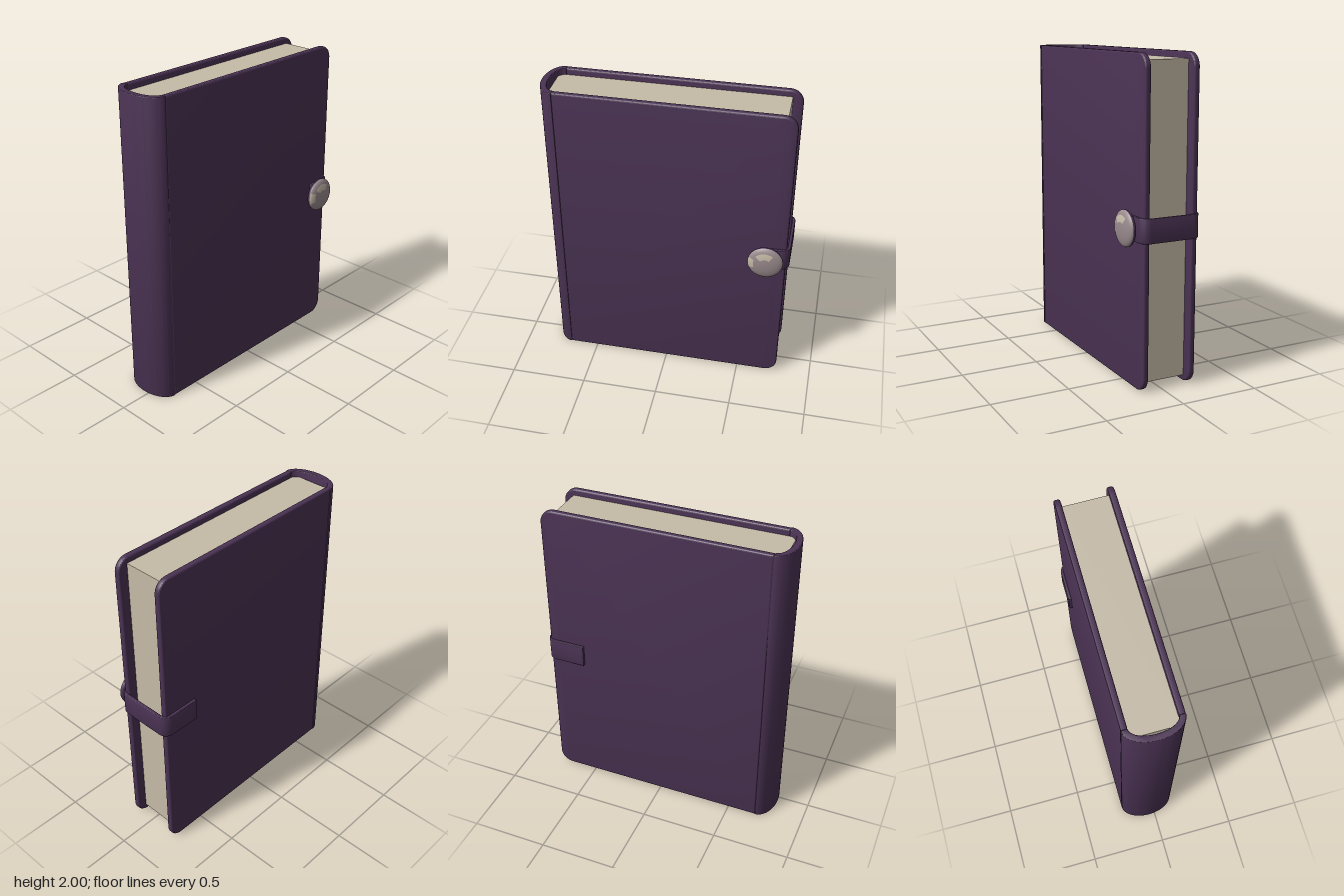
import * as THREE from 'three';
import { toCreasedNormals } from 'three/addons/utils/BufferGeometryUtils.js';

const material = (name, color) => {
  const m = new THREE.MeshStandardMaterial({ color });
  m.name = name;
  return m;
};

export function createModel() {
  const leather = material('purple leather', 0x4a3253);
  const paper = material('cream paper', 0xc6bba8);
  const pearl = material('button pearl', 0x9a8b8e);

  const group = new THREE.Group();
  group.name = 'journal';
  const add = (name, geometry, mat) => {
    const mesh = new THREE.Mesh(geometry, mat);
    mesh.name = name;
    group.add(mesh);
    return mesh;
  };

  // Extrude with a small bevel that keeps the outline and total depth
  const extrude = (shape, depth, bevel) => toCreasedNormals(new THREE.ExtrudeGeometry(shape, {
    depth: depth - 2 * bevel,
    bevelEnabled: bevel > 0,
    bevelThickness: bevel,
    bevelSize: bevel,
    bevelOffset: -bevel,
    bevelSegments: 3,
    curveSegments: 20,
  }).translate(0, 0, bevel), 0.6);

  // Plan outline in (x, -z) raised along y
  const raise = (shape, y, height, bevel) =>
    extrude(shape, height, bevel).rotateX(-Math.PI / 2).translate(0, y, 0);

  // Covers: square at the spine, rounded at the opening edge
  const left = -0.69, right = 0.77, top = 2, r = 0.085;
  const board = new THREE.Shape();
  board.moveTo(left, 0);
  board.lineTo(right - r, 0);
  board.absarc(right - r, r, r, -Math.PI / 2, 0, false);
  board.lineTo(right, top - r);
  board.absarc(right - r, top - r, r, 0, Math.PI / 2, false);
  board.lineTo(left, top);
  board.closePath();
  for (const [name, z] of [['frontCover', 0.103], ['backCover', -0.217]]) {
    add(name, extrude(board, 0.038, 0.01), leather).position.z = z;
  }

  // Spine: curved band joining the covers
  const mid = 0.038; // -z of the book's middle plane
  const spine = new THREE.Shape();
  spine.moveTo(left, mid + 0.179);
  spine.absellipse(left, mid, 0.106, 0.179, Math.PI / 2, Math.PI * 1.5, false);
  spine.lineTo(left, mid - 0.141);
  spine.absellipse(left, mid, 0.066, 0.141, Math.PI * 1.5, Math.PI / 2, true);
  spine.closePath();
  add('spine', raise(spine, 0, 2, 0.004), leather);

  // Page block
  const pages = add('pages', new THREE.BoxGeometry(1.44, 1.92, 0.284), paper);
  pages.position.set(-0.015, 1, -mid);

  // Strap wrapping round the opening edge
  const strap = new THREE.Shape();
  const zf = -0.162, zb = 0.236, t = 0.02, x = 0.792, c = 0.06;
  strap.moveTo(0.61, zf);
  strap.lineTo(x - c, zf);
  strap.absarc(x - c, zf + c, c, -Math.PI / 2, 0, false);
  strap.lineTo(x, zb - c);
  strap.absarc(x - c, zb - c, c, 0, Math.PI / 2, false);
  strap.lineTo(0.53, zb);
  strap.lineTo(0.53, zb - t);
  strap.lineTo(x - c, zb - t);
  strap.absarc(x - c, zb - c, c - t, Math.PI / 2, 0, true);
  strap.lineTo(x - t, zf + c);
  strap.absarc(x - c, zf + c, c - t, 0, -Math.PI / 2, true);
  strap.lineTo(0.61, zf + t);
  strap.closePath();
  add('strap', raise(strap, 0.915, 0.148, 0.004), leather);

  // Round button: leather base with a shallow dome
  const button = new THREE.Group();
  button.name = 'button';
  button.position.set(0.645, 0.99, 0.18);
  group.add(button);
  const turned = (name, points, mat, start = 0, length = Math.PI * 2) => {
    const profile = points.map(([px, py]) => new THREE.Vector2(px, py));
    const mesh = new THREE.Mesh(
      new THREE.LatheGeometry(profile, 40, start, length).rotateX(Math.PI / 2), mat);
    mesh.name = name;
    button.add(mesh);
  };
  const dome = (from, to, lift = 0) => Array.from({ length: 9 }, (_, i) => {
    const a = from + (to - from) * i / 8;
    return [Math.max(0.111 * Math.cos(a), 0), 0.022 + lift + 0.03 * Math.sin(a)];
  });
  turned('buttonBase', [[0, 0], [0.1, 0], [0.108, 0.006], [0.111, 0.014], [0.111, 0.022]], leather);
  turned('buttonDome', dome(0, Math.PI / 2), pearl);

  // Pale flecks on the dome
  turned('leftFleck', dome(0.15, 0.85, 0.001), paper, 4.35, 0.75);
  turned('upperFleck', dome(0.75, 1.2, 0.001), paper, 2.5, 1.5);

  return group;
}
